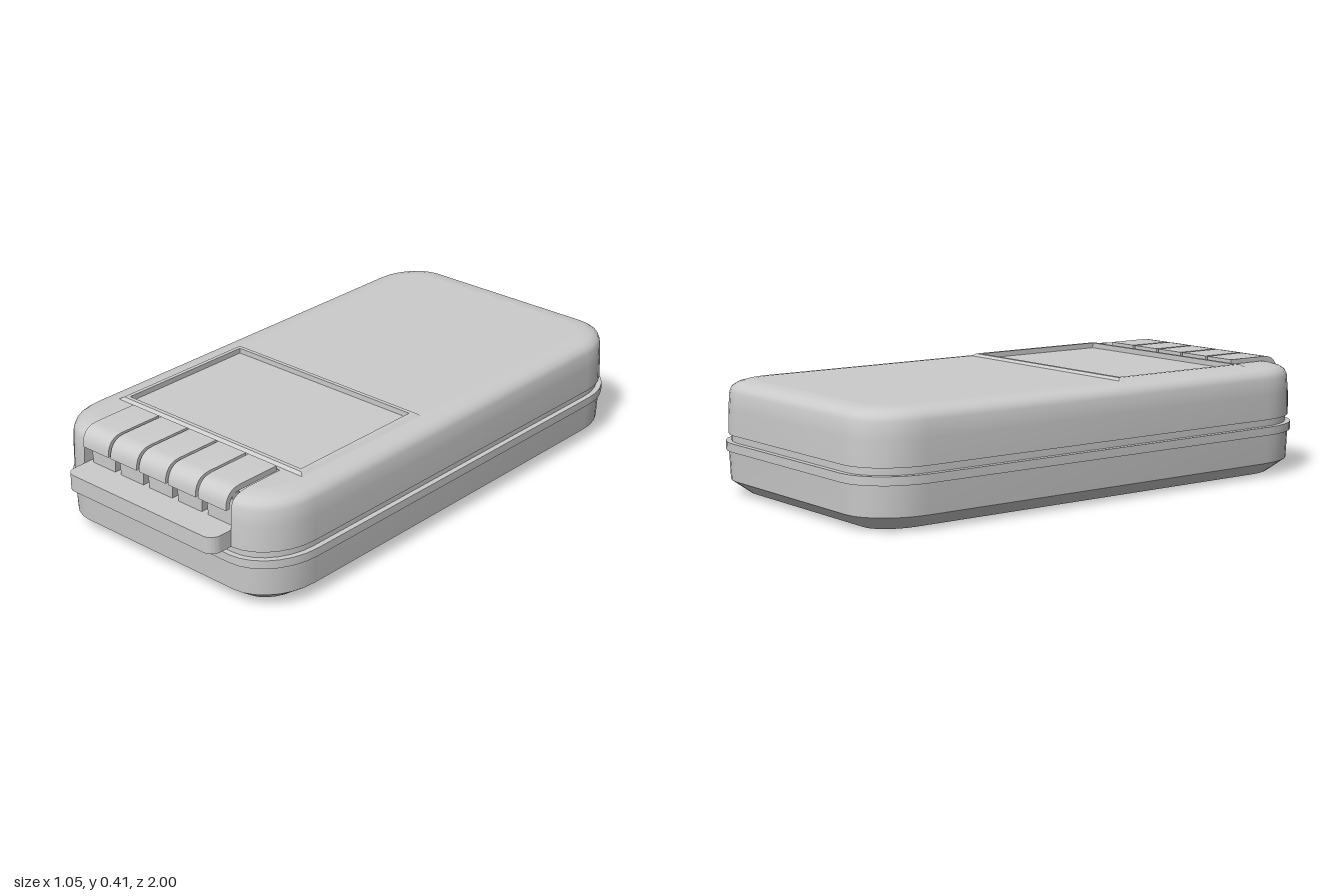
import * as THREE from 'three';
import { toCreasedNormals } from 'three/addons/utils/BufferGeometryUtils.js';

const material = new THREE.MeshStandardMaterial({ color: 0xcccccc });
const doubleSided = new THREE.MeshStandardMaterial({ color: 0xcccccc, side: THREE.DoubleSide });

// Corner centres shared by every horizontal section of the case
const CX = 0.345, FRONT = 0.705, BACK = -0.78, RX = 0.172, RZ = 0.21, SEG = 7;
const NOTCH_Z = 0.685;

// Rounded outline inset by d, running from front -x round the back to front +x
function outline(y, d) {
  const points = [];
  const centres = [[-CX, FRONT], [-CX, BACK], [CX, BACK], [CX, FRONT]];
  centres.forEach(([cx, cz], q) => {
    for (let i = 0; i <= SEG; i++) {
      const a = (Math.PI / 2) * (q + 1 + i / SEG);
      points.push([cx + (RX - d) * Math.cos(a), y, cz + (RZ - d) * Math.sin(a)]);
    }
  });
  return points;
}

// Skin between stacked rings; an open skin leaves out the front span
function loft(rings, open = false, crease = 0.6) {
  const n = rings[0].length, index = [];
  for (let r = 0; r < rings.length - 1; r++) {
    for (let i = 0; i < (open ? n - 1 : n); i++) {
      const a = r * n + i, b = r * n + ((i + 1) % n);
      index.push(a, a + n, b, b, a + n, b + n);
    }
  }
  const g = new THREE.BufferGeometry();
  g.setAttribute('position', new THREE.Float32BufferAttribute(rings.flat(2), 3));
  g.setIndex(index);
  return toCreasedNormals(g, crease);
}

const shapeOf = (pts) => new THREE.Shape(pts.map(([a, b]) => new THREE.Vector2(a, b)));

export function createModel() {
  const model = new THREE.Group();
  const add = (name, geometry, parent = model, mat = material) => {
    const mesh = new THREE.Mesh(geometry, mat);
    mesh.name = name;
    parent.add(mesh);
    return mesh;
  };

  // Lower case with chamfered foot, raised band and seam groove
  const lower = [[0, 0.075], [0.05, 0.005], [0.155, 0], [0.155, -0.01],
    [0.185, -0.01], [0.185, 0.01], [0.21, 0.01], [0.21, 0]];
  add('lowerCase', loft(lower.map(([y, d]) => outline(y, d))));
  const foot = shapeOf(outline(0, 0.075).map(([x, , z]) => [x, z]));
  add('base', new THREE.ShapeGeometry(foot).rotateX(Math.PI / 2));

  // Upper case, open at the front for the keys
  const upper = [[0.21, 0], [0.3, 0.002], [0.355, 0.006], [0.373, 0.014],
    [0.385, 0.032], [0.392, 0.058], [0.395, 0.09]];
  add('upperCase', loft(upper.map(([y, d]) => outline(y, d)), true));

  // Top panel with window hole and key notch
  const rim = outline(0.395, 0.09).map(([x, , z]) => [x, -z]);
  const top = shapeOf([...rim, [CX, -NOTCH_Z], [-CX, -NOTCH_Z]]);
  const rect = (x, z0, z1) => [[-x, z1], [-x, z0], [x, z0], [x, z1]];
  top.holes.push(shapeOf(rect(0.4, 0.105, 0.645).map(([x, z]) => [x, -z])));
  add('topPanel', new THREE.ShapeGeometry(top).rotateX(-Math.PI / 2).translate(0, 0.395, 0));

  // Key recess: two side walls and the bed behind the keys
  const wall = shapeOf([[NOTCH_Z, 0.21], ...upper.map(([y, d]) => [FRONT + RZ - d, y]),
    [NOTCH_Z, 0.395]]);
  for (const side of [-1, 1]) {
    add('recessWall', new THREE.ShapeGeometry(wall).rotateY(-Math.PI / 2)
      .translate(side * CX, 0, 0), model, doubleSided);
  }
  add('keyBed', new THREE.BoxGeometry(2 * CX, 0.175, 0.185).translate(0, 0.2925, 0.7725));

  // Window surround and sunken window
  const frame = [[0.44, 0.07, 0.68, 0.388], [0.415, 0.09, 0.66, 0.404],
    [0.4, 0.105, 0.645, 0.404], [0.4, 0.105, 0.645, 0.385]];
  add('windowFrame', loft(frame.map(([x, z0, z1, y]) =>
    rect(x, z0, z1).map(([px, pz]) => [px, y, pz])), false, 0.2));
  add('window', new THREE.PlaneGeometry(0.8, 0.54).rotateX(-Math.PI / 2)
    .translate(0, 0.385, 0.375));

  // Front shelf with rounded corners
  const r = 0.04, shelf = new THREE.Shape();
  shelf.moveTo(-CX, -0.86).lineTo(-CX, -1 + r);
  shelf.absarc(-CX + r, -1 + r, r, Math.PI, 1.5 * Math.PI);
  shelf.absarc(CX - r, -1 + r, r, 1.5 * Math.PI, 2 * Math.PI);
  shelf.lineTo(CX, -0.86);
  const shelfGeo = new THREE.ExtrudeGeometry(shelf, { depth: 0.06, bevelEnabled: false, curveSegments: 5 });
  add('frontShelf', toCreasedNormals(shelfGeo.rotateX(-Math.PI / 2).translate(0, 0.21, 0), 0.6));

  // Five curved keys, each with a tapered leg
  const W = 0.125, key = new THREE.Shape();
  key.moveTo(0.69, 0.39).lineTo(0.69, 0.41).lineTo(0.86, 0.41);
  key.quadraticCurveTo(0.925, 0.408, 0.925, 0.34);
  key.lineTo(0.908, 0.34).quadraticCurveTo(0.908, 0.39, 0.86, 0.39);
  const keyGeo = toCreasedNormals(new THREE.ExtrudeGeometry(key,
    { depth: W, bevelEnabled: false, curveSegments: 6 })
    .rotateY(-Math.PI / 2).translate(W / 2, 0, 0), 0.6);
  const leg = shapeOf([[-0.053, 0.26], [0.053, 0.26], [0.06, 0.35], [0.06, 0.385], [-0.06, 0.385], [-0.06, 0.35]]);
  const legGeo = new THREE.ExtrudeGeometry(leg, { depth: 0.03, bevelEnabled: false })
    .translate(0, 0, 0.86);
  for (let i = -2; i <= 2; i++) {
    const group = new THREE.Group();
    group.name = 'key';
    group.position.x = i * 0.1365;
    add('keyCap', keyGeo, group);
    add('keyLeg', legGeo, group);
    model.add(group);
  }
  return model;
}
